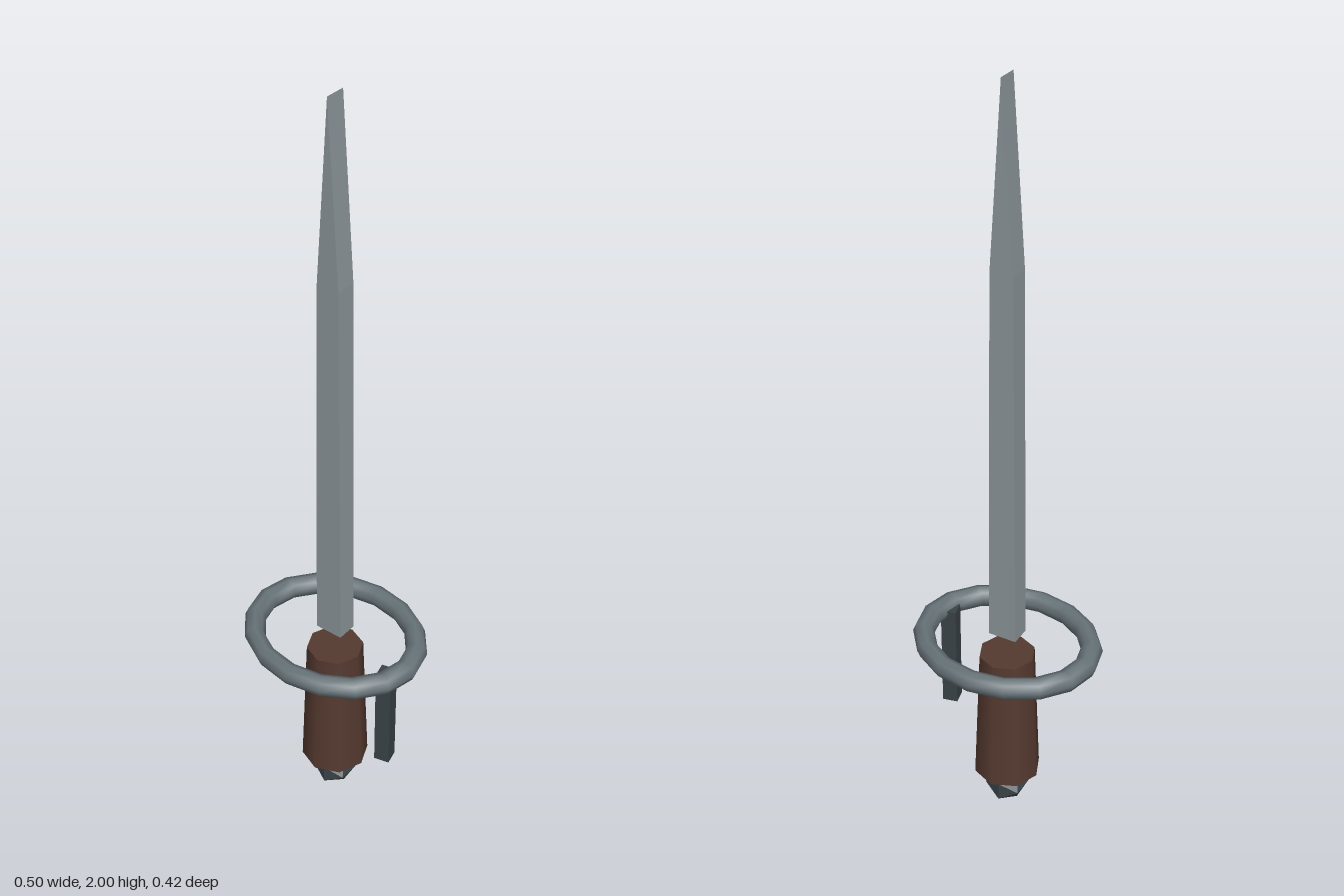
import * as THREE from 'three';

export function createModel() {
  const group = new THREE.Group();
  const steel = new THREE.MeshStandardMaterial({ color: 0x8a9398, flatShading: true });
  const iron = new THREE.MeshStandardMaterial({ color: 0x677378 });
  const darkIron = new THREE.MeshStandardMaterial({ color: 0x394246, flatShading: true });
  const leather = new THREE.MeshStandardMaterial({ color: 0x553a30 });

  function add(name, geometry, material, y) {
    const mesh = new THREE.Mesh(geometry, material);
    mesh.name = name;
    mesh.position.y = y;
    group.add(mesh);
    return mesh;
  }

  // Blade: slightly tapered slab ending in a wedge tip
  const outline = new THREE.Shape([
    new THREE.Vector2(-0.038, 0.545),
    new THREE.Vector2(0.038, 0.545),
    new THREE.Vector2(0.03, 1.55),
    new THREE.Vector2(0, 2),
    new THREE.Vector2(-0.03, 1.55),
  ]);
  const thickness = 0.054;
  const blade = new THREE.ExtrudeGeometry(outline, { depth: thickness, bevelEnabled: false });
  blade.translate(0, 0, -thickness / 2);
  add('blade', blade, steel, 0);

  // Oval ring guard
  const ring = new THREE.TorusGeometry(0.221, 0.029, 8, 16);
  ring.rotateX(Math.PI / 2);
  add('guardRing', ring, iron, 0.518).scale.z = 0.835;

  // Eight-sided grip, wider at the bottom
  add('grip', new THREE.CylinderGeometry(0.073, 0.088, 0.38, 8), leather, 0.29);

  // Faceted pommel
  add('pommel', new THREE.IcosahedronGeometry(0.057), darkIron, 0.042).scale.y = 0.86;

  // Square knuckle bar hanging from the ring
  const bar = add('knuckleBar', new THREE.BoxGeometry(0.04, 0.295, 0.04), darkIron, 0.3775);
  bar.position.x = 0.191;
  bar.position.z = 0.04;
  bar.rotation.y = 0.23;

  return group;
}
